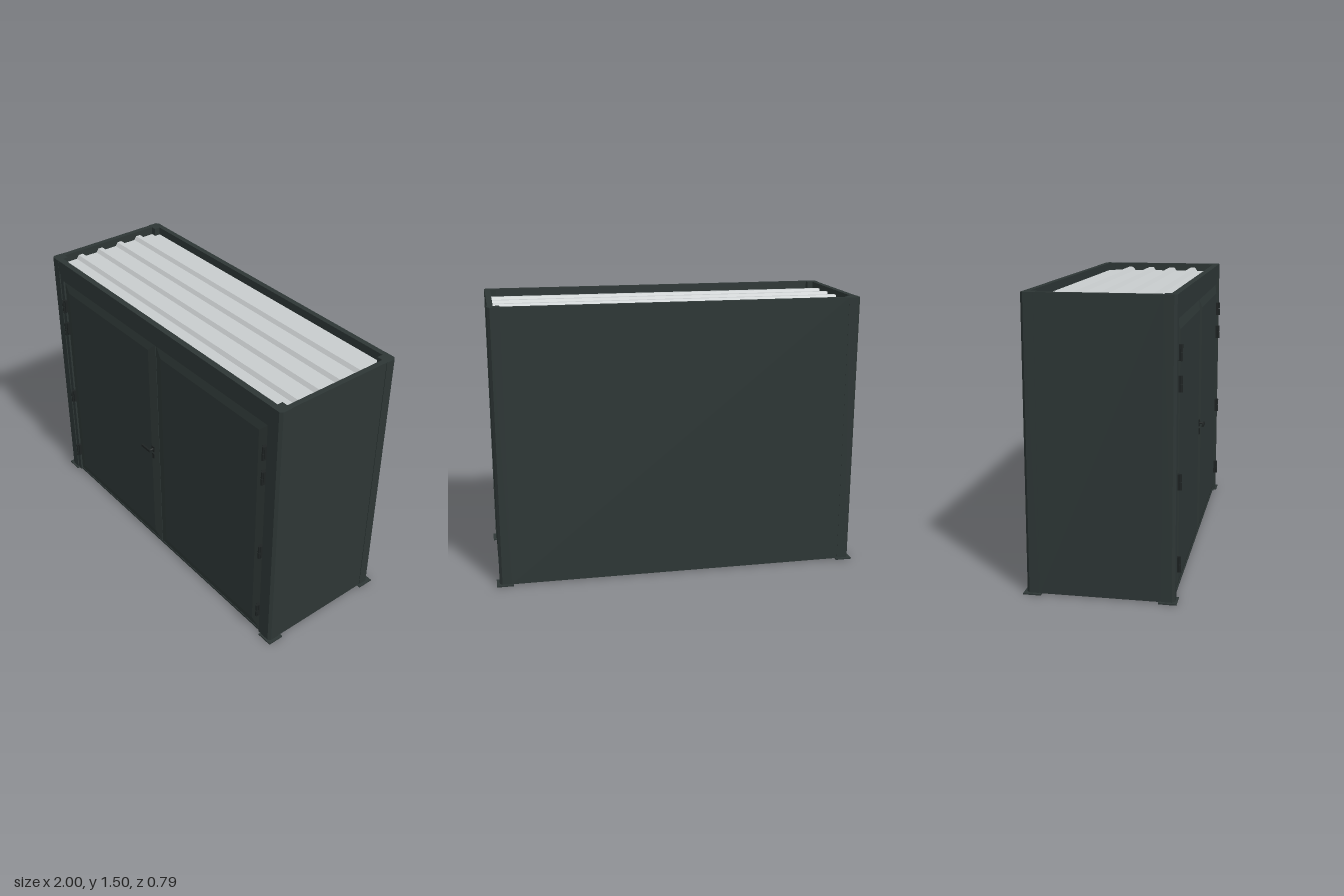
import * as THREE from 'three';

export function createModel() {
  const group = new THREE.Group();
  const mat = (name, color, extra = {}) => {
    const m = new THREE.MeshStandardMaterial({ color, ...extra });
    m.name = name;
    return m;
  };
  const dark = mat('anthracite', 0x2d3635);
  const light = mat('light grey', 0xc8cccd, { side: THREE.DoubleSide });
  const black = mat('black fittings', 0x1e2323);

  const add = (name, geo, material, x = 0, y = 0, z = 0, parent = group) => {
    const m = new THREE.Mesh(geo, material);
    m.name = name;
    m.position.set(x, y, z);
    parent.add(m);
    return m;
  };
  // Box given by its minimum and maximum corners
  const box = (name, material, x0, x1, y0, y1, z0, z1, parent = group) =>
    add(name, new THREE.BoxGeometry(x1 - x0, y1 - y0, z1 - z0), material,
      (x0 + x1) / 2, (y0 + y1) / 2, (z0 + z1) / 2, parent);

  const W = 0.985, H = 1.5, F = 0.36, B = -0.383, P = 0.065, C = 0.014;

  // Corner posts with a chamfered outer edge, standing on base plates
  const postShape = new THREE.Shape([[0, 0], [P, 0], [P, P - C], [P - C, P], [0, P]]
    .map(([x, y]) => new THREE.Vector2(x, y)));
  const postGeo = new THREE.ExtrudeGeometry(postShape, { depth: H, bevelEnabled: false });
  postGeo.rotateX(-Math.PI / 2); // outer corner now at +x, -z
  for (const [sx, sz, turn] of [[1, -1, 0], [-1, -1, 1], [-1, 1, 2], [1, 1, 3]]) {
    const z = sz > 0 ? F - P : B + P;
    const post = add('cornerPost', postGeo, dark, sx * (W - P), 0, z);
    post.rotation.y = turn * Math.PI / 2;
    const zc = sz > 0 ? 0.325 : -0.353;
    box('basePlate', dark, sx * 0.955 - 0.045, sx * 0.955 + 0.045, 0, 0.007, zc - 0.045, zc + 0.045);
  }

  // Side walls and back wall with pale inner linings
  for (const s of [-1, 1]) {
    add('sideWall', new THREE.BoxGeometry(0.03, H - 0.005, F - B - 2 * P), dark, s * (W - 0.018), H / 2 + 0.0025, (F + B) / 2);
    add('sideLining', new THREE.BoxGeometry(0.005, 1.43, F - B - 2 * P), light, s * (W - 0.036), 0.725, (F + B) / 2);
  }
  box('backWall', dark, -W + P, W - P, 0.005, H, B + 0.001, B + 0.031);
  box('backLining', light, -W + P, W - P, 0.01, 1.44, B + 0.031, B + 0.036);

  // Front lintel, inner door frame and threshold
  box('lintel', dark, -W + P, W - P, 1.42, H, F - 0.035, F - 0.001);
  box('doorFrameTop', dark, -0.92, 0.92, 1.38, 1.42, F - 0.05, F - 0.006);
  for (const s of [-1, 1])
    add('doorJamb', new THREE.BoxGeometry(0.03, 1.38, 0.05), dark, s * 0.907, 0.69, F - 0.031);
  box('threshold', dark, -0.892, 0.892, 0, 0.012, F - 0.05, F - 0.012);

  // Corrugated roof sheet: flat pans with raised ribs running across the width
  const roofPoints = [[-0.352, 1.455]];
  for (let i = 0; i < 4; i++) {
    const z = -0.215 + i * 0.135;
    roofPoints.push([z - 0.028, 1.455], [z - 0.014, 1.475], [z + 0.014, 1.475], [z + 0.028, 1.455]);
  }
  roofPoints.push([0.325, 1.455]);
  const outline = [...roofPoints, ...roofPoints.map(([z, y]) => [z, y - 0.006]).reverse()];
  const roofShape = new THREE.Shape(outline.map(([z, y]) => new THREE.Vector2(-z, y)));
  const roofGeo = new THREE.ExtrudeGeometry(roofShape, { depth: 1.904, bevelEnabled: false });
  roofGeo.rotateY(Math.PI / 2); // shape x becomes -z, depth becomes +x
  add('roofSheet', roofGeo, light, -0.952, 0, 0);

  // Double doors: slab, bevelled border with a flat middle, pale lining inside
  const dw = 0.888, dh = 1.366, face = F - 0.004;
  let bevel = new THREE.BoxGeometry(dw, dh, 0.012);
  const p = bevel.attributes.position;
  for (let i = 0; i < p.count; i++)
    if (p.getZ(i) > 0) {
      p.setX(i, p.getX(i) - Math.sign(p.getX(i)) * 0.054);
      p.setY(i, p.getY(i) - Math.sign(p.getY(i)) * 0.052);
    }
  bevel = bevel.toNonIndexed();
  bevel.computeVertexNormals();
  for (const s of [-1, 1]) {
    const door = new THREE.Group();
    door.name = s < 0 ? 'rightDoor' : 'leftDoor';
    group.add(door);
    const x = s * 0.446, y = 0.01 + dh / 2;
    add('doorBevel', bevel, dark, x, y, face - 0.006, door);
    add('doorSlab', new THREE.BoxGeometry(dw, dh, 0.03), dark, x, y, face - 0.027, door);
    add('doorLining', new THREE.BoxGeometry(dw - 0.1, dh - 0.09, 0.006), light, x, y, face - 0.044, door);

    // Hinges: two-knuckle barrels with a leaf
    for (const hy of [0.168, 0.588, 1.07, 1.22]) {
      for (const k of [-1, 1])
        add('hingeBarrel', new THREE.CylinderGeometry(0.007, 0.007, 0.038, 10), black, s * 0.886, hy + k * 0.021, 0.369, door);
      add('hingeLeaf', new THREE.BoxGeometry(0.02, 0.078, 0.018), black, s * 0.884, hy, 0.356, door);
    }
  }

  // Lever handle with its plate and lock
  const handle = new THREE.Group();
  handle.name = 'handle';
  group.add(handle);
  box('handleRose', black, -0.05, -0.028, 0.665, 0.702, face, 0.362, handle);
  box('lockPlate', black, -0.047, -0.031, 0.618, 0.652, face, 0.362, handle);
  const spindle = add('spindle', new THREE.CylinderGeometry(0.007, 0.007, 0.032, 10), black, -0.039, 0.683, 0.374, handle);
  spindle.rotation.x = Math.PI / 2;
  box('lever', black, -0.107, -0.032, 0.676, 0.69, 0.381, 0.391, handle);

  return group;
}
